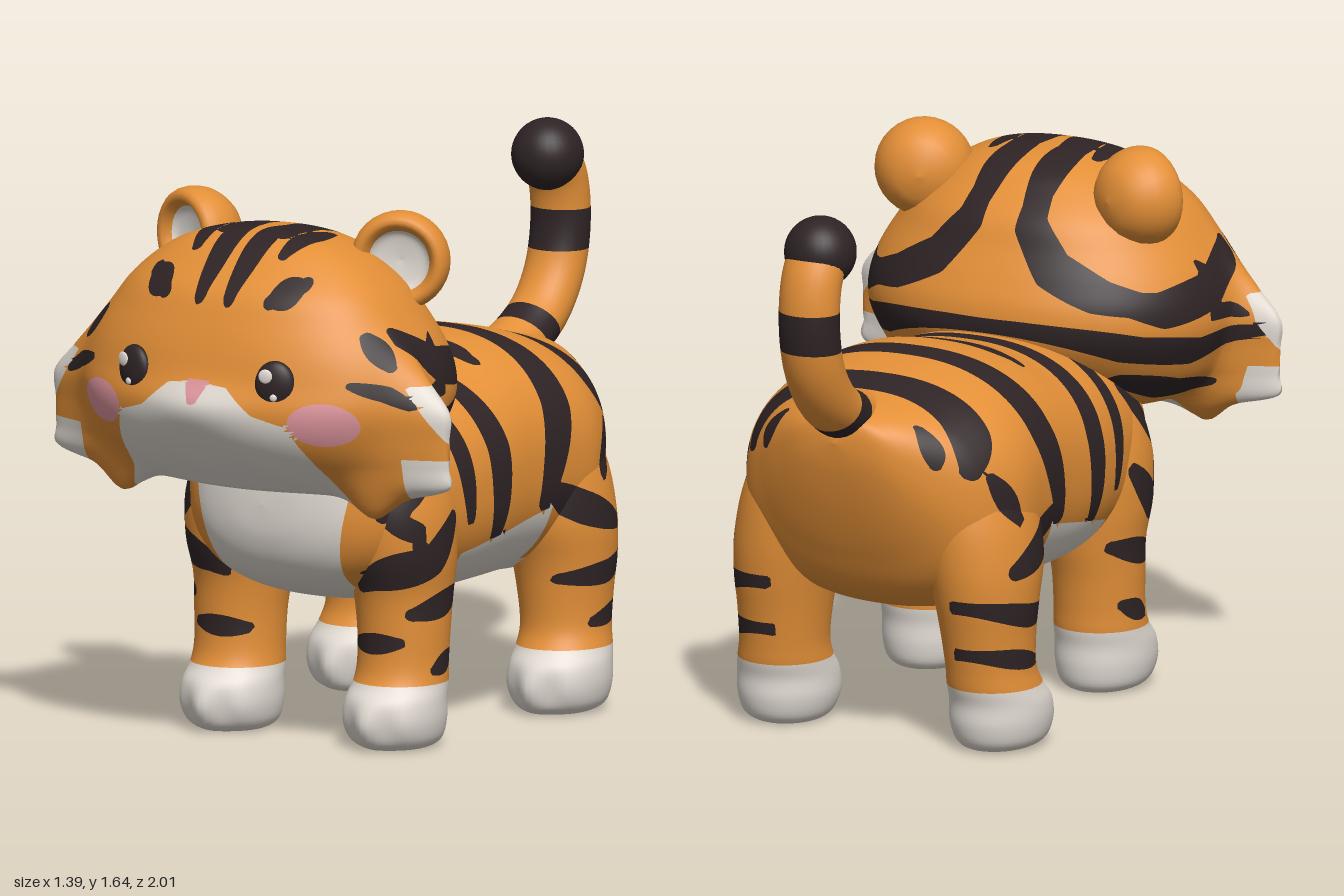
import * as THREE from 'three';

const flat = (name, color) => Object.assign(new THREE.MeshStandardMaterial({ color }), { name });
const ORANGE = 0, BLACK = 1, WHITE = 2, PINK = 3, PAD = 4;

// Smooth interpolation through rows of numbers, t from 0 to 1
function sample(rows, t) {
  const f = t * (rows.length - 1), i = Math.min(Math.floor(f), rows.length - 2), u = f - i;
  const row = k => rows[THREE.MathUtils.clamp(i + k, 0, rows.length - 1)];
  return rows[0].map((_, c) => {
    const a = row(-1)[c], b = row(0)[c], d = row(1)[c], e = row(2)[c];
    return 0.5 * (2 * b + (d - a) * u + (2 * a - 5 * b + 4 * d - e) * u * u + (3 * b - a - 3 * d + e) * u ** 3);
  });
}

// Closed skin over rings; place(row, cos, sin) returns one point
function loft(rows, place, around, along) {
  const pos = [], index = [];
  for (let j = 0; j <= along; j++) {
    const row = sample(rows, j / along);
    for (let i = 0; i < around; i++) {
      const a = i / around * Math.PI * 2;
      pos.push(...place(row, Math.cos(a), Math.sin(a)));
      if (j === along) continue;
      const p = j * around + i, q = j * around + (i + 1) % around;
      index.push(p, p + around, q, q, p + around, q + around);
    }
  }
  const g = new THREE.BufferGeometry();
  g.setAttribute('position', new THREE.Float32BufferAttribute(pos, 3));
  g.setIndex(index);
  g.computeVertexNormals();
  return g;
}

// Sorts triangles into colour groups by pick(x, y, z), cutting those on a border
function paint(source, pick) {
  const { position, normal } = source.attributes, I = source.index.array, buckets = [[], [], [], [], []];
  const read = (attribute, i) => new THREE.Vector3().fromBufferAttribute(attribute, i).toArray();
  const verts = Array.from({ length: position.count }, (_, i) => [...read(position, i), ...read(normal, i)]);
  const colour = verts.map(v => pick(...v));
  const mix = (a, b, t) => a.map((v, k) => v + (b[k] - v) * t);
  const border = (a, b, c) => {
    let low = 0, high = 1;
    for (let k = 0; k < 7; k++) {
      const t = (low + high) / 2;
      if (pick(...mix(a, b, t)) === c) low = t; else high = t;
    }
    return mix(a, b, low);
  };
  for (let k = 0; k < I.length; k += 3) {
    const t = [I[k], I[k + 1], I[k + 2]], c = t.map(i => colour[i]);
    const lone = [0, 1, 2].findIndex(i => c[(i + 1) % 3] === c[(i + 2) % 3]);
    const [a, b, d] = [0, 1, 2].map(i => verts[t[(Math.max(lone, 0) + i) % 3]]);
    if (lone < 0 || (c[0] === c[1] && c[1] === c[2])) { buckets[c[0]].push(a, b, d); continue; }
    const m = border(a, b, c[lone]), n = border(a, d, c[lone]);
    buckets[c[lone]].push(a, m, n);
    buckets[c[(lone + 1) % 3]].push(m, b, d, m, d, n);
  }
  const all = buckets.flat(), g = new THREE.BufferGeometry();
  g.setAttribute('position', new THREE.Float32BufferAttribute(all.flatMap(v => v.slice(0, 3)), 3));
  g.setAttribute('normal', new THREE.Float32BufferAttribute(all.flatMap(v => v.slice(3)), 3));
  let start = 0;
  buckets.forEach((b, m) => { if (b.length) g.addGroup(start, b.length, m); start += b.length; });
  return g;
}

// A stroke is [half width, u, v, u, v, ...], thinner toward both ends
function hit(strokes, u, v) {
  return strokes.some(([w, ...p]) => {
    const n = p.length / 2 - 1;
    for (let i = 0; i < n; i++) {
      const [ax, ay, bx, by] = p.slice(i * 2, i * 2 + 4), dx = bx - ax, dy = by - ay;
      const t = THREE.MathUtils.clamp(((u - ax) * dx + (v - ay) * dy) / (dx * dx + dy * dy), 0, 1);
      const taper = 1 - 0.5 * Math.abs(2 * (i + t) / n - 1) ** 2;
      if (Math.hypot(u - ax - dx * t, v - ay - dy * t) < w * taper) return true;
    }
    return false;
  });
}

const power = (v, e) => Math.sign(v) * Math.abs(v) ** e;
const bump = (v, c, w) => Math.exp(-(((v - c) / w) ** 2));
function curveAt(pts, x) {
  const i = pts.findIndex(p => p[0] >= x);
  if (i <= 0) return i < 0 ? -1 : pts[0][1];
  const [a, b] = [pts[i - 1], pts[i]];
  return a[1] + (b[1] - a[1]) * (x - a[0]) / (b[0] - a[0]);
}

// Stripes on trunk and legs, in (z, y)
const sideStripes = [
  [0.035, 0.23, 1.08, 0.2, 0.87, 0.17, 0.65], [0.05, 0.07, 1.12, 0.03, 0.84, 0.03, 0.57],
  [0.045, -0.1, 1.14, -0.1, 1.07], [0.062, -0.31, 1.17, -0.28, 0.92, -0.2, 0.65],
  [0.055, -0.5, 1.13, -0.55, 0.97, -0.6, 0.86], [0.035, -0.55, 0.83, -0.47, 0.69],
  [0.05, -0.22, 0.68, -0.36, 0.61, -0.52, 0.55], [0.025, -0.66, 0.98, -0.67, 0.88],
  [0.036, -0.32, 0.4, -0.46, 0.41, -0.62, 0.45], [0.03, -0.4, 0.265, -0.6, 0.305],
  [0.045, 0.5, 0.7, 0.42, 0.78, 0.32, 0.9], [0.05, 0.5, 0.49, 0.37, 0.56, 0.27, 0.67],
  [0.04, 0.41, 0.4, 0.21, 0.45], [0.032, 0.35, 0.23, 0.25, 0.27]];
const legFrontStripes = [[0.032, 0.19, 0.305, 0.35, 0.315], [0.04, 0.24, 0.48, 0.42, 0.58], [0.03, 0.32, 0.72, 0.43, 0.62]];

// Stripes on the head: seen from the side (z, y), front and back (x, y) and top (x, z)
const headSide = [
  [0.055, 0.68, 1.27, 0.52, 1.17, 0.35, 1.14, 0.25, 1.17], [0.043, 0.64, 1.03, 0.46, 1.0, 0.28, 1.03, 0.13, 1.09],
  [0.033, 0.6, 0.87, 0.45, 0.88, 0.3, 0.93]];
const headBack = [[0.052, 0.085, 1.52, 0.1, 1.37, 0.19, 1.26, 0.33, 1.19, 0.47, 1.15]];
const headFront = [
  [0.045, 0.255, 1.415, 0.185, 1.37], [0.022, 0.45, 1.28, 0.53, 1.19], [0.022, 0.45, 1.145, 0.53, 1.12, 0.6, 1.08]];
const headTop = [
  [0.054, 0.09, 0.25, 0.085, 0.38, 0.08, 0.52, 0.1, 0.66], [0.04, 0.05, 0.55, 0.055, 0.7, 0.05, 0.87],
  [0.034, 0.17, 0.52, 0.17, 0.62, 0.15, 0.74]];
const muzzleTop = [[0, 1.135], [0.1, 1.125], [0.19, 1.05], [0.29, 1.02], [0.33, 0.92], [0.36, 0.82], [0.42, 0.7]];

// Head rows: y, half width, front z, back z, half width at the cheek tufts
const headRows = [
  [0.775, 0, 0.62, 0.62, 0], [0.79, 0.27, 0.77, 0.42, 0.48], [0.83, 0.42, 0.835, 0.32, 0.71], [0.9, 0.5, 0.91, 0.24, 0.705],
  [0.98, 0.54, 0.965, 0.17, 0.7], [1.06, 0.565, 0.98, 0.13, 0.7], [1.14, 0.56, 0.96, 0.13, 0.63],
  [1.22, 0.53, 0.94, 0.16, 0.555], [1.3, 0.48, 0.91, 0.2, 0.485], [1.38, 0.42, 0.87, 0.24, 0.42],
  [1.45, 0.34, 0.8, 0.31, 0.34], [1.5, 0.25, 0.74, 0.38, 0.25], [1.53, 0.14, 0.68, 0.48, 0.14], [1.54, 0, 0.62, 0.62, 0]];
function headPoint([y, w, front, back, tuft], c, s) {
  let x = w * power(c, 0.9);
  let z = 0.62 + (s > 0 ? front - 0.62 : 0.62 - back) * power(s, 0.9);
  x += Math.sign(c) * (tuft - w) * bump(z, 0.68, z < 0.68 ? 0.045 : 0.075) * c ** 4;
  if (s > 0) z += 0.025 * bump(x, 0, 0.16) * bump(y, 1.06, 0.07);
  const low = THREE.MathUtils.smoothstep(0.9 - y, 0, 0.1);
  return [x, y - 0.065 * low * bump(Math.abs(x), 0.44, 0.07) * bump(z, 0.7, 0.06), z];
}
function headColour(sx, y, z) {
  const x = Math.abs(sx);
  if (z > 0.85 && y > 1.07 && y < 1.14 && x < 0.012 + (y - 1.07) * 0.45) return PINK;
  if (z > 0.7 && Math.hypot((x - 0.385) / 0.092, (y - 1.03) / 0.065) < 1) return PINK;
  if (z > 0.58 && y < curveAt(muzzleTop, x)) return WHITE;
  if (z > 0.5 && hit(headFront, x, y)) return BLACK;
  if (z > 0.64 && y < 1.14 && x > 0.56 && (y > 1.92 - 1.375 * x || y < 0.925)) return WHITE;
  if (z < 0.7 && hit(headSide, z, y)) return BLACK;
  if (z < 0.42 && hit(headBack, x, y)) return BLACK;
  return y > 1.3 && hit(headTop, x, z) ? BLACK : ORANGE;
}

// Trunk rows: z, top, bottom, half width
const trunkRows = [
  [0.63, 0.72, 0.72, 0], [0.62, 0.83, 0.62, 0.13], [0.58, 0.92, 0.53, 0.25], [0.5, 0.98, 0.46, 0.34], [0.35, 1.02, 0.41, 0.4],
  [0.15, 1.06, 0.38, 0.43], [0, 1.075, 0.38, 0.44], [-0.15, 1.11, 0.38, 0.44], [-0.3, 1.115, 0.385, 0.45],
  [-0.45, 1.09, 0.385, 0.45], [-0.58, 1.055, 0.45, 0.39], [-0.66, 1.04, 0.58, 0.3], [-0.72, 1.025, 0.72, 0.21],
  [-0.76, 1.005, 0.85, 0.12], [-0.775, 0.94, 0.94, 0]];
function trunkColour(sx, y, z) {
  const x = Math.abs(sx);
  if (z > 0.38 && y < 0.9 && x < 0.2 + 0.21 * (y - 0.45)) return WHITE;
  if (z < 0.45 && z > -0.43 && y < (z > -0.24 && z < 0.17 ? 0.58 - 0.2 * z : 0.46)) return WHITE;
  return y > 0.52 && hit(sideStripes, z, y) ? BLACK : ORANGE;
}

// Leg rows: y, x, z, half width, half depth
const frontLegRows = [
  [0, 0.285, 0.35, 0, 0], [0, 0.285, 0.35, 0.06, 0.07], [0, 0.285, 0.35, 0.095, 0.115], [0.025, 0.285, 0.355, 0.128, 0.15],
  [0.08, 0.285, 0.36, 0.143, 0.166], [0.14, 0.285, 0.355, 0.143, 0.16], [0.19, 0.285, 0.33, 0.137, 0.143],
  [0.25, 0.285, 0.32, 0.133, 0.135], [0.35, 0.285, 0.315, 0.135, 0.14], [0.45, 0.28, 0.31, 0.142, 0.155],
  [0.57, 0.28, 0.32, 0.155, 0.18], [0.72, 0.27, 0.32, 0.155, 0.19], [0.87, 0.24, 0.32, 0.12, 0.14], [0.95, 0.2, 0.32, 0, 0]];
const hindLegRows = [
  [0, 0.345, -0.4, 0, 0], [0, 0.345, -0.4, 0.06, 0.07], [0, 0.345, -0.4, 0.095, 0.115], [0.025, 0.35, -0.4, 0.128, 0.15],
  [0.08, 0.35, -0.4, 0.145, 0.166], [0.14, 0.35, -0.405, 0.145, 0.161], [0.19, 0.345, -0.43, 0.137, 0.148],
  [0.25, 0.34, -0.445, 0.13, 0.14], [0.35, 0.335, -0.45, 0.137, 0.15], [0.45, 0.33, -0.45, 0.15, 0.168],
  [0.57, 0.315, -0.435, 0.165, 0.195], [0.72, 0.285, -0.425, 0.165, 0.2], [0.87, 0.24, -0.42, 0.14, 0.16], [0.98, 0.2, -0.42, 0, 0]];
function leg(rows, side) {
  const [, cx, cz] = rows[0];
  const place = ([y, x, z, w, d], c, s) => {
    const toes = s > 0 ? 0.012 * s * Math.cos(w * c * 50) * bump(y, 0.07, 0.06) : 0;
    return [side * x + w * c, y, z + d * s + toes];
  };
  return paint(loft(rows, place, 48, 60), (sx, y, z) => {
    const x = sx * side;
    if (y < 0.006 && Math.hypot(x - cx, z - cz) < 0.055) return PAD;
    if (y < 0.19) return WHITE;
    if (x > cx - 0.05 && hit(sideStripes, z, y)) return BLACK;
    return z > 0.4 && hit(legFrontStripes, x, y) ? BLACK : ORANGE;
  });
}

export function createModel() {
  const model = new THREE.Group();
  model.name = 'tigerCub';
  const colours = [flat('orangeFur', 0xe38f37), flat('blackFur', 0x2e2325), flat('whiteFur', 0xe2dbd3),
    flat('pinkSkin', 0xdf969e), flat('pawPad', 0xdb8a94)];
  const add = (name, geometry, material = colours, parent = model) => {
    const mesh = new THREE.Mesh(geometry, material);
    mesh.name = name;
    parent.add(mesh);
    return mesh;
  };
  const group = (name, x, y, z, turn) => {
    const g = new THREE.Group();
    g.name = name;
    g.position.set(x, y, z);
    g.rotation.y = turn;
    model.add(g);
    return g;
  };

  add('head', paint(loft(headRows, headPoint, 180, 110), headColour));
  const trunk = loft(trunkRows, ([z, top, bottom, w], c, s) =>
    [w * power(c, 0.85), (top + bottom) / 2 + (top - bottom) / 2 * power(s, 0.85), z], 130, 110);
  add('trunk', paint(trunk, trunkColour));

  const lathe = pts => new THREE.LatheGeometry(
    new THREE.SplineCurve(pts.map(p => new THREE.Vector2(...p))).getPoints(14), 32).rotateX(Math.PI / 2);
  const ball = new THREE.SphereGeometry(1, 32, 20);

  for (const side of [1, -1]) {
    const name = side > 0 ? 'left' : 'right';
    add(name + 'FrontLeg', leg(frontLegRows, side));
    add(name + 'HindLeg', leg(hindLegRows, side));

    // Cupped ear with a pale lining
    const ear = group(name + 'Ear', side * 0.358, 1.45, 0.44, side * 0.38);
    add('earShell', lathe([[0, -0.13], [0.08, -0.112], [0.132, -0.055], [0.146, 0.005], [0.135, 0.045], [0.11, 0.052], [0.09, 0.025]]), colours[ORANGE], ear);
    add('earLining', lathe([[0.095, 0.03], [0.07, 0.01], [0, 0]]), colours[WHITE], ear);

    // Eye with two glints
    const eye = group(name + 'Eye', side * 0.245, 1.14, 0.925, side * 0.29);
    add('eyeball', ball, colours[BLACK], eye).scale.set(0.062, 0.073, 0.03);
    for (const [x, y, r] of [[-0.022, 0.03, 0.021], [0.002, -0.032, 0.011]]) {
      const glint = add('glint', ball, colours[WHITE], eye);
      glint.position.set(x, y, 0.027);
      glint.scale.set(r, r, 0.006);
    }
  }

  // Curled tail with rings and a round tip
  const tailPath = new THREE.CatmullRomCurve3([[0.97, -0.56], [1.0, -0.68], [1.075, -0.81], [1.185, -0.89], [1.32, -0.922],
    [1.45, -0.91], [1.54, -0.86]].map(([y, z]) => new THREE.Vector3(0, y, z)));
  add('tail', paint(new THREE.TubeGeometry(tailPath, 90, 0.079, 28), (x, y, z) => {
    const along = -0.8 * (z + 0.74) + 0.6 * (y - 1.04);
    return (y > 1.25 && y < 1.37) || Math.abs(along) < 0.035 ? BLACK : ORANGE;
  }).scale(1.16, 1, 1));
  const tip = add('tailTip', ball, colours[BLACK]);
  tip.position.set(0, 1.532, -0.855);
  tip.scale.setScalar(0.106);
  return model;
}
